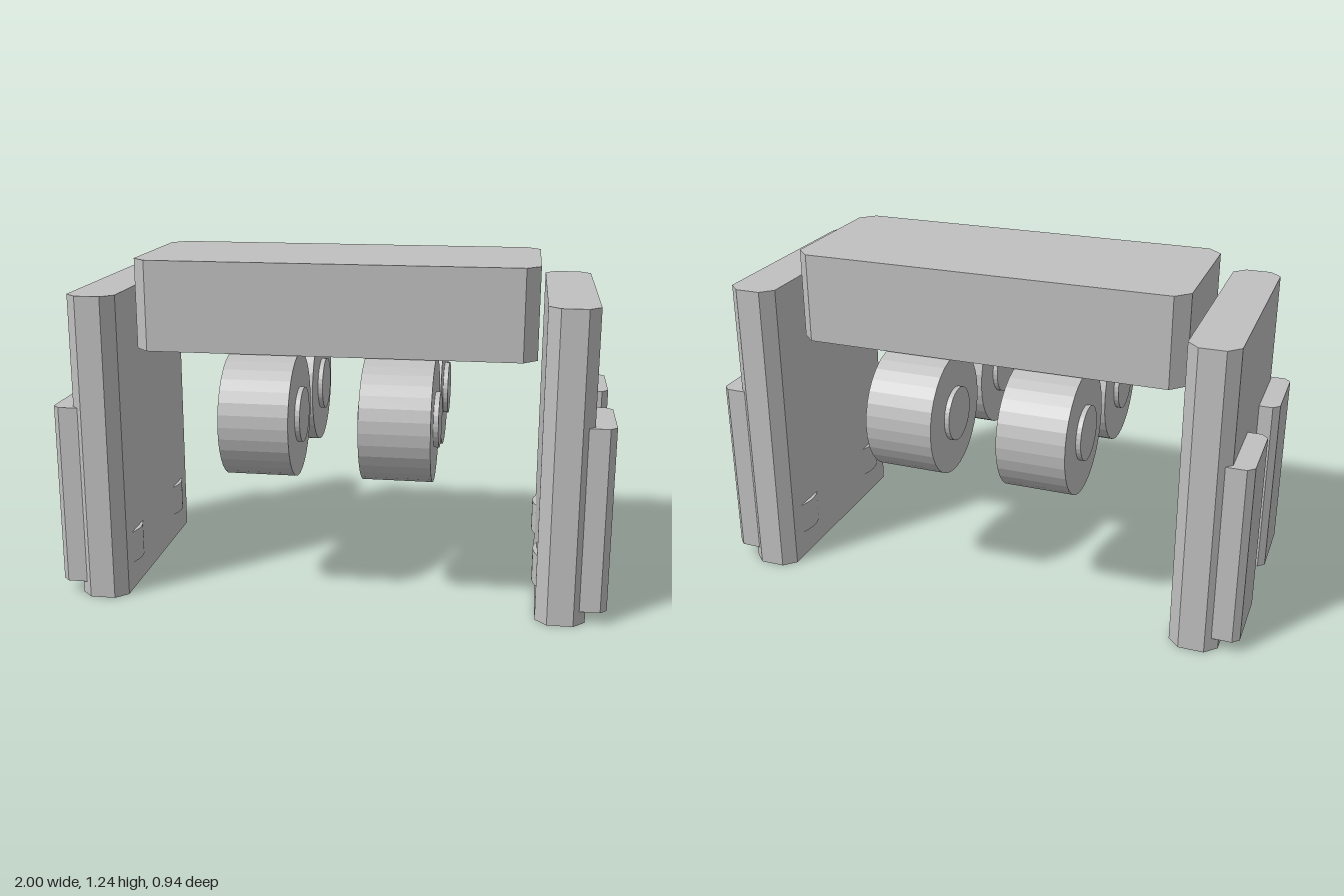
import * as THREE from 'three';

const grey = new THREE.MeshStandardMaterial({ color: 0xc0c0c0, flatShading: true });
grey.name = 'light grey';

// Upright block whose four vertical edges are chamfered by c
function chamferBlock(name, [x0, x1], [y0, y1], [z0, z1], c) {
  const w = (x1 - x0) / 2, d = (z1 - z0) / 2;
  const shape = new THREE.Shape([
    [w, -d + c], [w, d - c], [w - c, d], [-w + c, d],
    [-w, d - c], [-w, -d + c], [-w + c, -d], [w - c, -d],
  ].map(([x, y]) => new THREE.Vector2(x, y)));
  const geometry = new THREE.ExtrudeGeometry(shape, { depth: y1 - y0, bevelEnabled: false });
  geometry.rotateX(-Math.PI / 2);
  const mesh = new THREE.Mesh(geometry, grey);
  mesh.name = name;
  mesh.position.set((x0 + x1) / 2, y0, (z0 + z1) / 2);
  return mesh;
}

// Cylinder lying along x
function roller(name, radius, length) {
  const geometry = new THREE.CylinderGeometry(radius, radius, length, 32);
  geometry.rotateZ(Math.PI / 2);
  const mesh = new THREE.Mesh(geometry, grey);
  mesh.name = name;
  return mesh;
}

export function createModel() {
  const model = new THREE.Group();
  model.name = 'rollerFrame';

  // Top beam
  model.add(chamferBlock('topBeam', [-0.725, 0.725], [0.91, 1.24], [-0.29, 0.29], 0.05));

  for (const s of [1, -1]) {
    const span = (a, b) => (s > 0 ? [a, b] : [-b, -a]);
    const side = new THREE.Group();
    side.name = s > 0 ? 'leftSide' : 'rightSide';
    model.add(side);

    // Tall side panel
    side.add(chamferBlock('sidePanel', span(0.75, 0.926), [0, 1.13], [-0.435, 0.435], 0.042));

    for (const e of [1, -1]) {
      // Outer pad
      const z = e > 0 ? [0.12, 0.415] : [-0.415, -0.12];
      side.add(chamferBlock('outerPad', span(0.88, 1), [0.05, 0.72], z, 0.024));

      // Shallow curved bump on the inner face
      const r = 0.15, half = Math.asin(0.065 / r);
      const bump = new THREE.Mesh(
        new THREE.CylinderGeometry(r, r, 0.12, 8, 1, false, -s * Math.PI / 2 - half, half * 2), grey);
      bump.name = 'innerBump';
      bump.position.set(s * (0.735 + r), 0.163, e * 0.267);
      side.add(bump);

      // Wheel with a projecting hub
      const wheel = new THREE.Group();
      wheel.name = 'wheel';
      wheel.add(roller('tyre', 0.225, 0.25), roller('hub', 0.1, 0.286));
      wheel.position.set(s * 0.247, 0.685, e * 0.246);
      side.add(wheel);
    }
  }
  return model;
}
